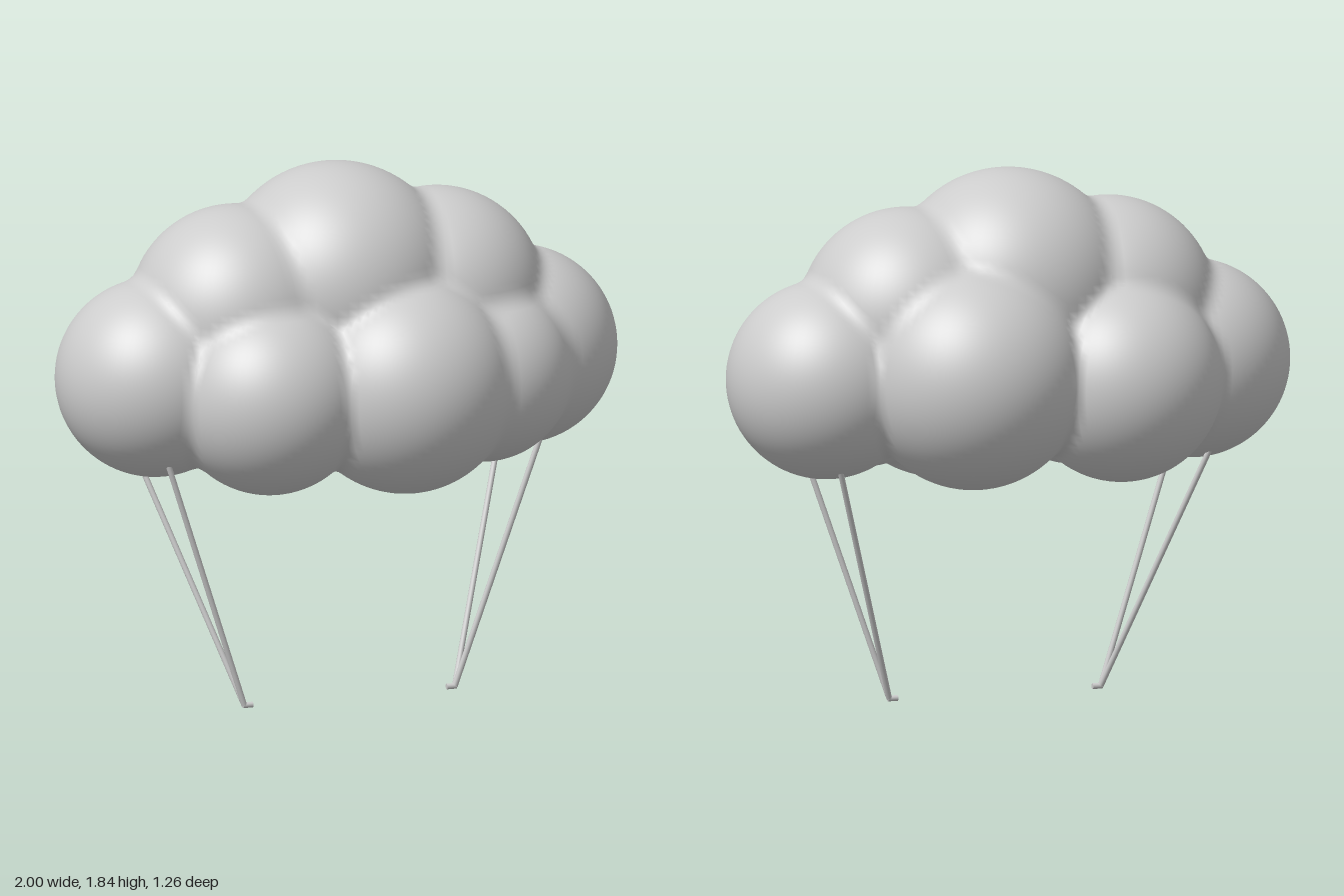
import * as THREE from 'three';

// Puffs of the cloud: name, x, y, z, radius
const PUFFS = [
  ['topPuff', 0, 1.43, -0.02, 0.41],
  ['upperLeftPuff', 0.365, 1.357, -0.015, 0.366],
  ['upperRightPuff', -0.365, 1.357, -0.015, 0.366],
  ['leftEndPuff', 0.66, 1.15, -0.02, 0.34],
  ['rightEndPuff', -0.66, 1.15, -0.02, 0.34],
  ['frontRightPuff', -0.33, 1.11, 0.21, 0.34],
  ['frontCentrePuff', 0.145, 1.12, 0.256, 0.375],
  ['frontLeftPuff', 0.455, 1.12, 0.18, 0.31],
  ['backLeftPuff', 0.21, 1.168, -0.248, 0.385],
  ['backRightPuff', -0.32, 1.13, -0.265, 0.347],
];
const BLEND = 0.035;

// Distance to the softly merged cloud surface
function cloudDistance(p) {
  let d = Infinity;
  for (const [, x, y, z, r] of PUFFS) {
    const e = Math.hypot(p.x - x, p.y - y, p.z - z) - r;
    const h = Math.max(BLEND - Math.abs(d - e), 0) / BLEND;
    d = Math.min(d, e) - (d === Infinity ? 0 : h * h * BLEND * 0.25);
  }
  return d;
}

function cloudNormal(p) {
  const n = new THREE.Vector3();
  const q = new THREE.Vector3();
  for (const axis of ['x', 'y', 'z']) {
    q.copy(p)[axis] += 0.002;
    n[axis] = cloudDistance(q);
    q[axis] -= 0.004;
    n[axis] -= cloudDistance(q);
  }
  return n.normalize();
}

// Sphere whose skin is eased onto the merged surface near the valleys
function puffGeometry(x, y, z, r) {
  const geo = new THREE.SphereGeometry(r, 72, 48).translate(x, y, z);
  const pos = geo.attributes.position;
  const nor = geo.attributes.normal;
  const p = new THREE.Vector3();
  for (let i = 0; i < pos.count; i++) {
    p.fromBufferAttribute(pos, i);
    if (cloudDistance(p) < -0.035) continue; // buried inside a neighbour
    for (let k = 0; k < 4; k++) p.addScaledVector(cloudNormal(p), -cloudDistance(p));
    const n = cloudNormal(p);
    pos.setXYZ(i, p.x, p.y, p.z);
    nor.setXYZ(i, n.x, n.y, n.z);
  }
  return geo;
}

// Thin round rod between two points
function rod(name, a, b, radius, material) {
  const from = new THREE.Vector3(...a);
  const dir = new THREE.Vector3(...b).sub(from);
  const geo = new THREE.CylinderGeometry(radius, radius, dir.length(), 12);
  const mesh = new THREE.Mesh(geo, material);
  mesh.name = name;
  mesh.position.copy(from).addScaledVector(dir, 0.5);
  mesh.quaternion.setFromUnitVectors(new THREE.Vector3(0, 1, 0), dir.normalize());
  return mesh;
}

export function createModel() {
  const model = new THREE.Group();
  model.name = 'cloudOnStrings';
  const grey = new THREE.MeshStandardMaterial({ color: 0xcccccc });
  grey.name = 'light grey';

  // Cloud body
  const cloud = new THREE.Group();
  cloud.name = 'cloud';
  for (const [name, ...puff] of PUFFS) {
    const mesh = new THREE.Mesh(puffGeometry(...puff), grey);
    mesh.name = name;
    cloud.add(mesh);
  }
  model.add(cloud);

  // Two V-shaped pairs of rods, each meeting at a small peg
  for (const s of [1, -1]) {
    const side = new THREE.Group();
    side.name = s > 0 ? 'leftSupport' : 'rightSupport';
    const x = (v) => s * v - 0.007;
    side.add(
      rod('frontRod', [x(0.383), 0.01, 0.128], [x(0.697), 0.94, 0.187], 0.01, grey),
      rod('backRod', [x(0.383), 0.01, 0.128], [x(0.697), 0.94, -0.2], 0.01, grey),
      rod('peg', [x(0.388), 0.01, 0.128], [x(0.353), 0.01, 0.128], 0.01, grey),
    );
    model.add(side);
  }
  return model;
}
